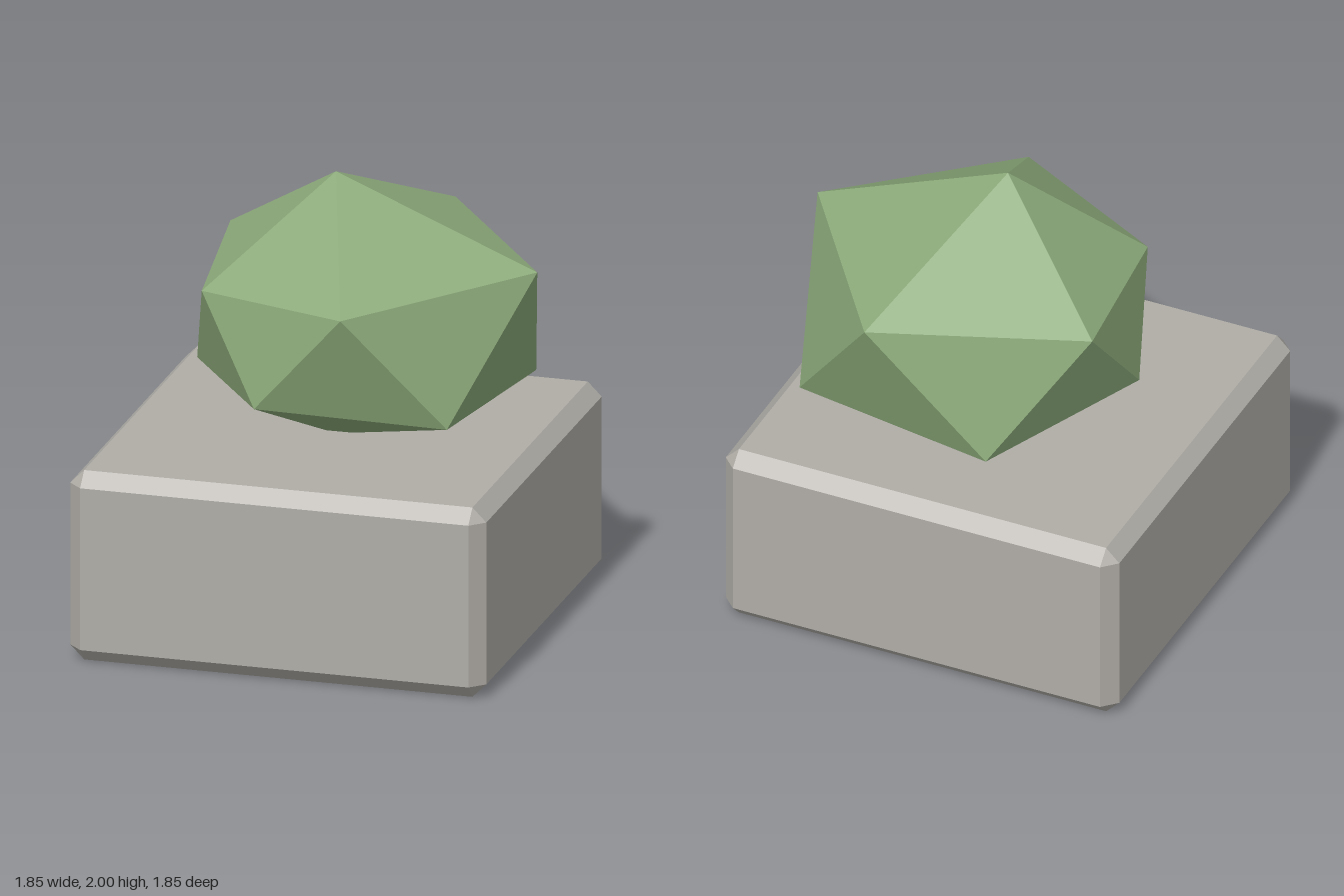
import * as THREE from 'three';
import { ConvexGeometry } from 'three/addons/geometries/ConvexGeometry.js';

// Box with flat chamfers on every edge and corner, standing on y = 0
function chamferedBox(halfX, height, halfZ, bevel) {
  const half = [halfX, height / 2, halfZ];
  const points = [];
  for (const sx of [-1, 1]) for (const sy of [-1, 1]) for (const sz of [-1, 1]) {
    for (let full = 0; full < 3; full++) {
      const p = [sx, sy, sz].map((s, i) => s * (half[i] - (i === full ? 0 : bevel)));
      points.push(new THREE.Vector3(p[0], p[1] + height / 2, p[2]));
    }
  }
  return new ConvexGeometry(points);
}

// Irregular twenty-sided lump: two staggered rings of five corners between two poles
function lump(centreY, topY, bottomY, upperRadii, lowerRadii, slope) {
  const ring = (radii, offset, side) => radii.map((r, i) => {
    const a = (i + offset) * Math.PI * 2 / 5;
    return [r * Math.cos(a), centreY + side * slope * r, -r * Math.sin(a)];
  });
  const upper = ring(upperRadii, 0, 1);
  const lower = ring(lowerRadii, 0.5, -1);
  const top = [0, topY, 0];
  const bottom = [0, bottomY, 0];
  const corners = [];
  for (let i = 0; i < 5; i++) {
    const j = (i + 1) % 5;
    corners.push(top, upper[i], upper[j]);
    corners.push(upper[i], lower[i], upper[j]);
    corners.push(lower[i], lower[j], upper[j]);
    corners.push(bottom, lower[j], lower[i]);
  }
  const geometry = new THREE.BufferGeometry();
  geometry.setAttribute('position', new THREE.Float32BufferAttribute(corners.flat(), 3));
  geometry.computeVertexNormals();
  return geometry;
}

export function createModel() {
  const stone = new THREE.MeshStandardMaterial({ name: 'stone', color: 0xb0ada7 });
  const leaf = new THREE.MeshStandardMaterial({ name: 'leaf green', color: 0x8caa7a });

  const model = new THREE.Group();
  model.name = 'planter';
  const add = (name, geometry, material) => {
    const mesh = new THREE.Mesh(geometry, material);
    mesh.name = name;
    model.add(mesh);
  };

  // Stone planter block
  add('planterBlock', chamferedBox(0.925, 0.853, 0.925, 0.062), stone);

  // Faceted bush, its lowest point sunk into the block
  add('bush', lump(1.318, 2, 0.82,
    [0.895, 0.898, 0.74, 0.607, 0.726],
    [0.905, 0.785, 0.617, 0.617, 0.777], 0.35), leaf);

  return model;
}
